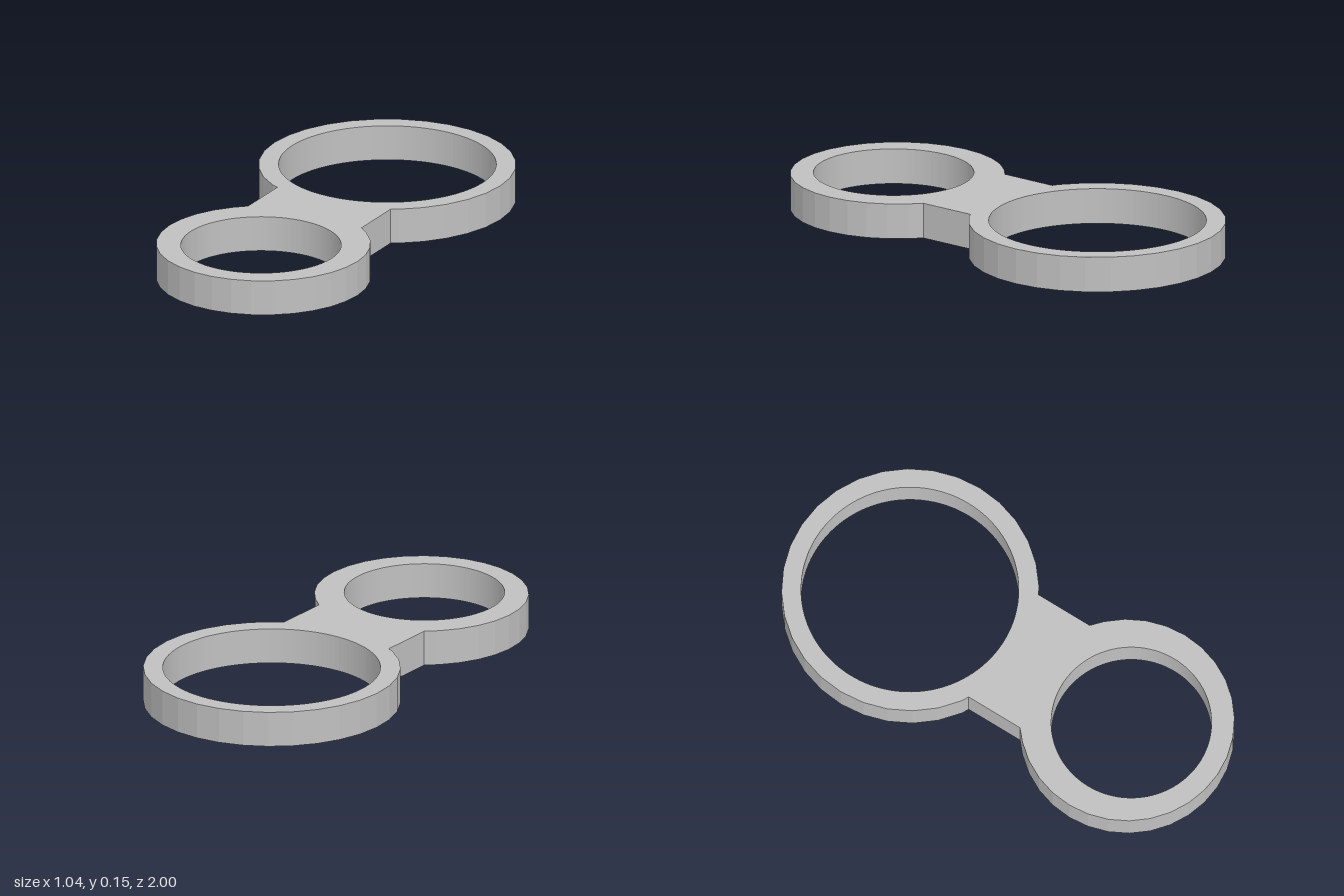
import * as THREE from 'three';

const HEIGHT = 0.147;
const NECK = 0.262; // half width of the bridge
const STEP = Math.PI / 16; // outer rims have 32 sides

// Shape plane: x stays x, shape y becomes -z
const rimPoints = (cy, r, from, to) => {
  const points = [];
  for (let i = from; i <= to; i++) {
    points.push(new THREE.Vector2(r * Math.cos(i * STEP), cy + r * Math.sin(i * STEP)));
  }
  return points;
};

const hole = (cy, r) => new THREE.Path().absarc(0, cy, r, 0, Math.PI * 2, true);

export function createModel() {
  const group = new THREE.Group();
  group.name = 'doubleRing';
  const grey = new THREE.MeshStandardMaterial({ color: 0xc0c0c0 });
  grey.name = 'grey';

  // One outline: large rim, neck, small rim, neck
  const outline = new THREE.Shape([
    new THREE.Vector2(NECK, 0.03),
    ...rimPoints(0.478, 0.522, -5, 21),
    new THREE.Vector2(-NECK, 0.03),
    new THREE.Vector2(-NECK, -0.217),
    ...rimPoints(-0.565, 0.435, 12, 36),
    new THREE.Vector2(NECK, -0.217),
  ]);
  // Large and small openings
  outline.holes.push(hole(0.48, 0.441), hole(-0.585, 0.325));

  const geometry = new THREE.ExtrudeGeometry(outline, {
    depth: HEIGHT, bevelEnabled: false, curveSegments: 64,
  });
  geometry.rotateX(-Math.PI / 2);

  const body = new THREE.Mesh(geometry, grey);
  body.name = 'ringsAndBridge';
  group.add(body);
  return group;
}
